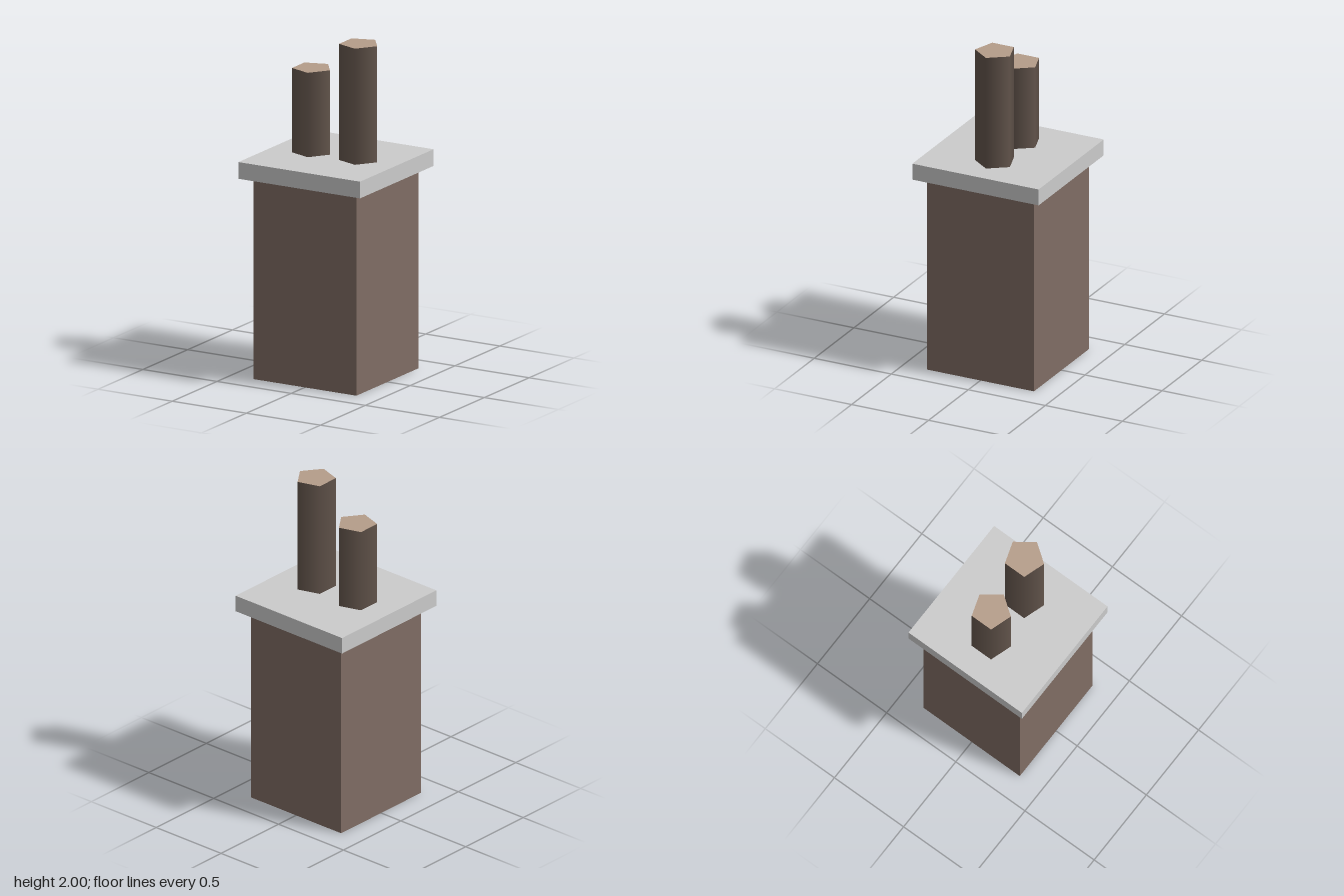
import * as THREE from 'three';

export function createModel() {
  const group = new THREE.Group();
  const brick = new THREE.MeshStandardMaterial({ color: 0x806d64 });
  const stone = new THREE.MeshStandardMaterial({ color: 0xcccccc });
  const potSide = new THREE.MeshStandardMaterial({ color: 0x62544b });
  const potCap = new THREE.MeshStandardMaterial({ color: 0xb59d8a });

  const add = (name, geometry, material, x, bottom, height) => {
    const mesh = new THREE.Mesh(geometry, material);
    mesh.name = name;
    mesh.position.set(x, bottom + height / 2, 0);
    group.add(mesh);
  };

  // Square chimney stack with an overhanging slab
  const stackHeight = 1.205, slabHeight = 0.1;
  const slabTop = stackHeight + slabHeight;
  add('chimneyStack', new THREE.BoxGeometry(0.695, stackHeight, 0.695), brick, 0, 0, stackHeight);
  add('capSlab', new THREE.BoxGeometry(0.82, slabHeight, 0.82), stone, 0, stackHeight, slabHeight);

  // Five-sided pots, one corner pointing to +x, smooth sides and flat caps
  for (const [name, x, top] of [['shortPot', -0.159, 1.81], ['tallPot', 0.159, 2]]) {
    const height = top - slabTop;
    const geometry = new THREE.CylinderGeometry(0.119, 0.119, height, 5, 1, false, Math.PI / 2);
    add(name, geometry, [potSide, potCap, potCap], x, slabTop, height);
  }

  return group;
}
